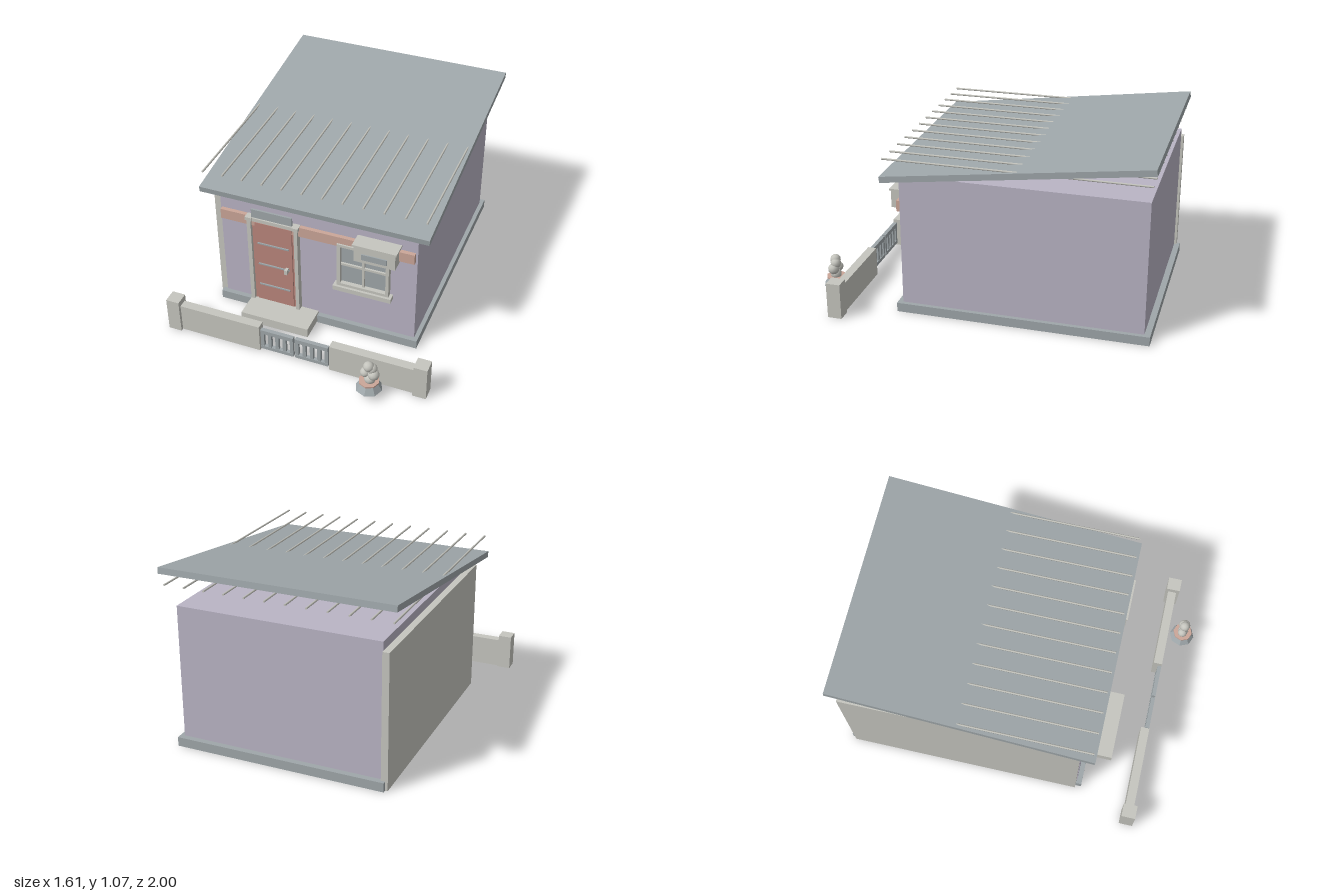
import * as THREE from 'three';

const flat = (name, color) => {
  const m = new THREE.MeshStandardMaterial({ color });
  m.name = name;
  return m;
};

export function createModel() {
  const wall = flat('lavender wall', 0xbab4c5);
  const stone = flat('pale stone', 0xc6c6bf);
  const slate = flat('slate grey', 0x9fa7aa);
  const red = flat('door red', 0xba867c);
  const clay = flat('clay trim', 0xcba698);

  const house = new THREE.Group();
  house.name = 'house';

  const add = (name, geometry, material, parent = house) => {
    const mesh = new THREE.Mesh(geometry, material);
    mesh.name = name;
    parent.add(mesh);
    return mesh;
  };
  // Box given by its limits on each axis
  const box = (name, material, [x0, x1], [y0, y1], [z0, z1], parent) => {
    const mesh = add(name, new THREE.BoxGeometry(x1 - x0, y1 - y0, z1 - z0), material, parent);
    mesh.position.set((x0 + x1) / 2, (y0 + y1) / 2, (z0 + z1) / 2);
    return mesh;
  };
  const group = (name) => {
    const g = new THREE.Group();
    g.name = name;
    house.add(g);
    return g;
  };

  // Main volume
  box('foundation', slate, [-0.63, 0.63], [0, 0.055], [-1, 0.485]);
  box('walls', wall, [-0.605, 0.605], [0.05, 0.85], [-0.965, 0.455]);
  box('sidePanel', stone, [-0.645, -0.605], [0, 0.8], [-0.98, 0.45]);
  box('frontBand', clay, [-0.597, 0.593], [0.625, 0.69], [0.45, 0.48]);

  // Sloping roof and the level rods passing through it
  const roof = add('roof', new THREE.BoxGeometry(1.38, 0.036, 1.549), slate);
  roof.position.set(0, 0.95, -0.23);
  roof.rotation.x = Math.atan2(0.205, 1.54);
  for (let i = 0; i < 12; i++) {
    const rod = add('roofRod', new THREE.CylinderGeometry(0.006, 0.006, 1.505, 6), stone);
    rod.rotation.x = Math.PI / 2;
    rod.position.set(-0.667 + i * 0.1212, 0.966, -0.228);
  }

  // Door with frame, slats, handle and plate above
  const door = group('door');
  box('doorLeaf', red, [-0.402, -0.128], [0.06, 0.67], [0.45, 0.475], door);
  box('doorPanel', red, [-0.38, -0.148], [0.075, 0.655], [0.475, 0.484], door);
  for (const [x0, x1] of [[-0.425, -0.4], [-0.13, -0.108]]) {
    box('doorPost', stone, [x0, x1], [0.06, 0.672], [0.45, 0.495], door);
    box('doorPostCap', stone, [x0 - 0.008, x1 + 0.008], [0.67, 0.692], [0.45, 0.502], door);
  }
  box('doorLintel', stone, [-0.425, -0.108], [0.667, 0.69], [0.45, 0.495], door);
  for (const y of [0.198, 0.355, 0.51])
    box('doorSlat', slate, [-0.364, -0.166], [y - 0.004, y + 0.004], [0.48, 0.492], door);
  box('doorHandle', stone, [-0.19, -0.172], [0.34, 0.37], [0.484, 0.515], door);
  box('doorPlate', slate, [-0.39, -0.137], [0.702, 0.758], [0.488, 0.5], door);
  box('doorStep', stone, [-0.426, 0.003], [0.01, 0.07], [0.46, 0.637]);

  // Window
  const win = group('window');
  box('glass', slate, [0.145, 0.438], [0.355, 0.635], [0.45, 0.463], win);
  for (const [x0, x1] of [[0.132, 0.153], [0.43, 0.449]])
    box('windowJamb', stone, [x0, x1], [0.335, 0.645], [0.45, 0.49], win);
  box('windowHead', stone, [0.132, 0.449], [0.63, 0.647], [0.45, 0.49], win);
  box('windowBottomRail', stone, [0.15, 0.435], [0.34, 0.363], [0.45, 0.49], win);
  box('windowMullion', stone, [0.284, 0.298], [0.36, 0.635], [0.455, 0.478], win);
  box('windowCrossbar', stone, [0.15, 0.435], [0.489, 0.503], [0.455, 0.476], win);
  box('windowSill', stone, [0.112, 0.468], [0.315, 0.345], [0.45, 0.505], win);

  // Box mounted above the window
  const unit = group('wallBox');
  box('wallBoxBody', stone, [0.257, 0.502], [0.605, 0.712], [0.45, 0.545], unit);
  box('wallBoxLid', stone, [0.248, 0.511], [0.71, 0.722], [0.45, 0.552], unit);
  box('wallBoxVent', slate, [0.304, 0.455], [0.63, 0.668], [0.545, 0.552], unit);

  // Garden wall with a pair of barred gates
  for (const s of [-1, 1]) {
    const span = (a, b) => (s > 0 ? [a, b] : [-b, -a]);
    box('gardenPillar', stone, span(0.725, 0.806), [0, 0.218], [0.763, 0.847]);
    box('gardenWall', stone, span(0.218, 0.73), [0, 0.18], [0.775, 0.828]);
    const gate = group('gate');
    for (const [y0, y1] of [[0.02, 0.042], [0.136, 0.163]])
      box('gateRail', slate, span(0.006, 0.21), [y0, y1], [0.803, 0.827], gate);
    for (let i = 0; i < 5; i++) {
      const x = 0.006 + i * 0.0458;
      box('gateBar', slate, span(x, x + 0.0208), [0.03, 0.15], [0.805, 0.825], gate);
    }
  }

  // Faceted planter with a rim and round shrub
  const plant = group('planter');
  plant.position.set(0.495, 0, 0.922);
  const pot = add('pot', new THREE.CylinderGeometry(0.045, 0.078, 0.05, 8).toNonIndexed(), slate, plant);
  pot.geometry.computeVertexNormals();
  pot.position.y = 0.08;
  const rim = add('potRim', new THREE.CylinderGeometry(0.06, 0.06, 0.009, 8).toNonIndexed(), clay, plant);
  rim.geometry.computeVertexNormals();
  rim.position.y = 0.106;
  const balls = [
    [0.005, 0.125, 0, 0.034], [-0.025, 0.16, -0.004, 0.03], [0.028, 0.165, 0.004, 0.034],
    [0.014, 0.198, -0.006, 0.032], [-0.003, 0.215, 0.002, 0.032],
  ];
  for (const [x, y, z, r] of balls)
    add('shrubBall', new THREE.IcosahedronGeometry(r, 1), stone, plant).position.set(x, y, z);

  return house;
}
